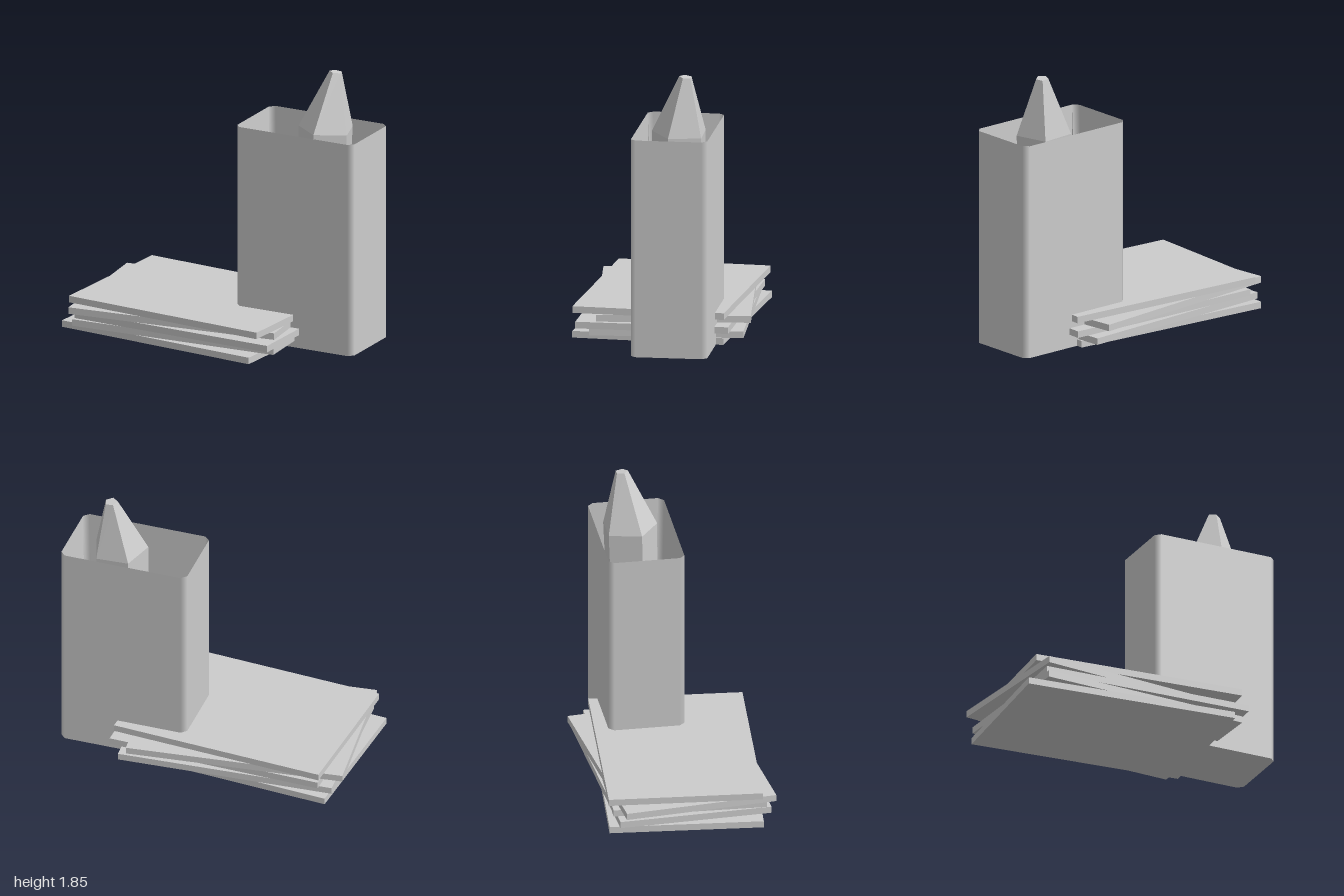
import * as THREE from 'three';

// Joins closed rings of [x, y, z] points (listed from below to above, turning from +x to +z).
// inward turns the faces to the inside; the ends can be capped.
function loft(rings, { inward = false, bottom = false, top = false } = {}) {
  const pos = [];
  const n = rings[0].length;
  const tri = (a, b, c) => (inward ? pos.push(...a, ...c, ...b) : pos.push(...a, ...b, ...c));
  for (let r = 0; r < rings.length - 1; r++) {
    for (let i = 0; i < n; i++) {
      const j = (i + 1) % n;
      const lo = rings[r], hi = rings[r + 1];
      tri(lo[i], hi[i], lo[j]);
      tri(lo[j], hi[i], hi[j]);
    }
  }
  const first = rings[0], last = rings[rings.length - 1];
  for (let i = 1; i < n - 1; i++) {
    if (bottom) tri(first[0], first[i], first[i + 1]);
    if (top) tri(last[0], last[i + 1], last[i]);
  }
  const geo = new THREE.BufferGeometry();
  geo.setAttribute('position', new THREE.Float32BufferAttribute(pos, 3));
  geo.computeVertexNormals();
  return geo;
}

// Rectangle with cut corners
function cutRect(x0, x1, z0, z1, c, y) {
  return [
    [x1, y, z0 + c], [x1, y, z1 - c], [x1 - c, y, z1], [x0 + c, y, z1],
    [x0, y, z1 - c], [x0, y, z0 + c], [x0 + c, y, z0], [x1 - c, y, z0],
  ];
}

// Keeps the walls flat and shades the cut corners as if rounded
function softenCorners(geo) {
  const p = geo.attributes.position, nr = geo.attributes.normal;
  const v = new THREE.Vector3();
  for (let f = 0; f < p.count; f += 3) {
    v.fromBufferAttribute(nr, f);
    if (Math.min(Math.abs(v.x), Math.abs(v.z)) < 0.4) continue;
    const sx = Math.sign(v.x), sz = Math.sign(v.z);
    const ids = [f, f + 1, f + 2];
    const xs = ids.map((i) => p.getX(i) * sx);
    const mid = (Math.max(...xs) + Math.min(...xs)) / 2;
    const outside = v.x * (p.getX(f) - 0.56) > 0;
    ids.forEach((i, k) => {
      if ((xs[k] > mid) === outside) nr.setXYZ(i, sx, 0, 0);
      else nr.setXYZ(i, 0, 0, sz);
    });
  }
  return geo;
}

// Five-sided ring
function pentagon(x, y, z, r, tilt = 0) {
  return Array.from({ length: 5 }, (_, i) => {
    const a = THREE.MathUtils.degToRad(18 + 72 * i);
    const dx = r * Math.cos(a), dz = r * Math.sin(a);
    return [x + dx, y + tilt * (dz - dx), z + dz];
  });
}

export function createModel() {
  const model = new THREE.Group();
  const grey = new THREE.MeshStandardMaterial({ color: 0xcccccc });
  grey.name = 'plain grey';

  const add = (name, geo, parent = model) => {
    const mesh = new THREE.Mesh(geo, grey);
    mesh.name = name;
    parent.add(mesh);
    return mesh;
  };

  // Stack of slightly turned slabs, bottom first: centre x, centre z, turn in degrees
  const stack = new THREE.Group();
  stack.name = 'slabStack';
  model.add(stack);
  const thick = 0.045;
  const slab = new THREE.BoxGeometry(1.47, thick, 1.025);
  [
    [-0.22, 0.02, -4.7],
    [-0.175, -0.01, 3.1],
    [-0.13, 0.02, -1.7],
    [-0.215, -0.015, 6],
    [-0.17, 0.017, -4.2],
  ].forEach(([x, z, turn], i) => {
    const mesh = add('slab' + (i + 1), slab, stack);
    mesh.position.set(x, thick * (i + 0.5), z);
    mesh.rotation.y = THREE.MathUtils.degToRad(turn);
  });

  // Tall open container whose inside narrows from a sharp rim to the floor
  const container = new THREE.Group();
  container.name = 'container';
  model.add(container);
  const rim = cutRect(0.12, 1, -0.38, 0.13, 0.035, 1.47);
  add('outerWall', softenCorners(loft(
    [cutRect(0.12, 1, -0.38, 0.13, 0.035, 0), rim], { bottom: true })), container);
  add('innerWall', softenCorners(loft(
    [cutRect(0.153, 0.967, -0.355, 0.1, 0.03, 0.04), rim],
    { inward: true, bottom: true })), container);

  // Faceted stick leaning in the container, with a blunt point
  add('pointedStick', loft([
    pentagon(0.62, 0.06, -0.13, 0.16),
    pentagon(0.657, 1.455, -0.158, 0.19, 0.04),
    pentagon(0.702, 1.845, -0.2, 0.043, 0.08),
  ], { bottom: true, top: true }));

  return model;
}
